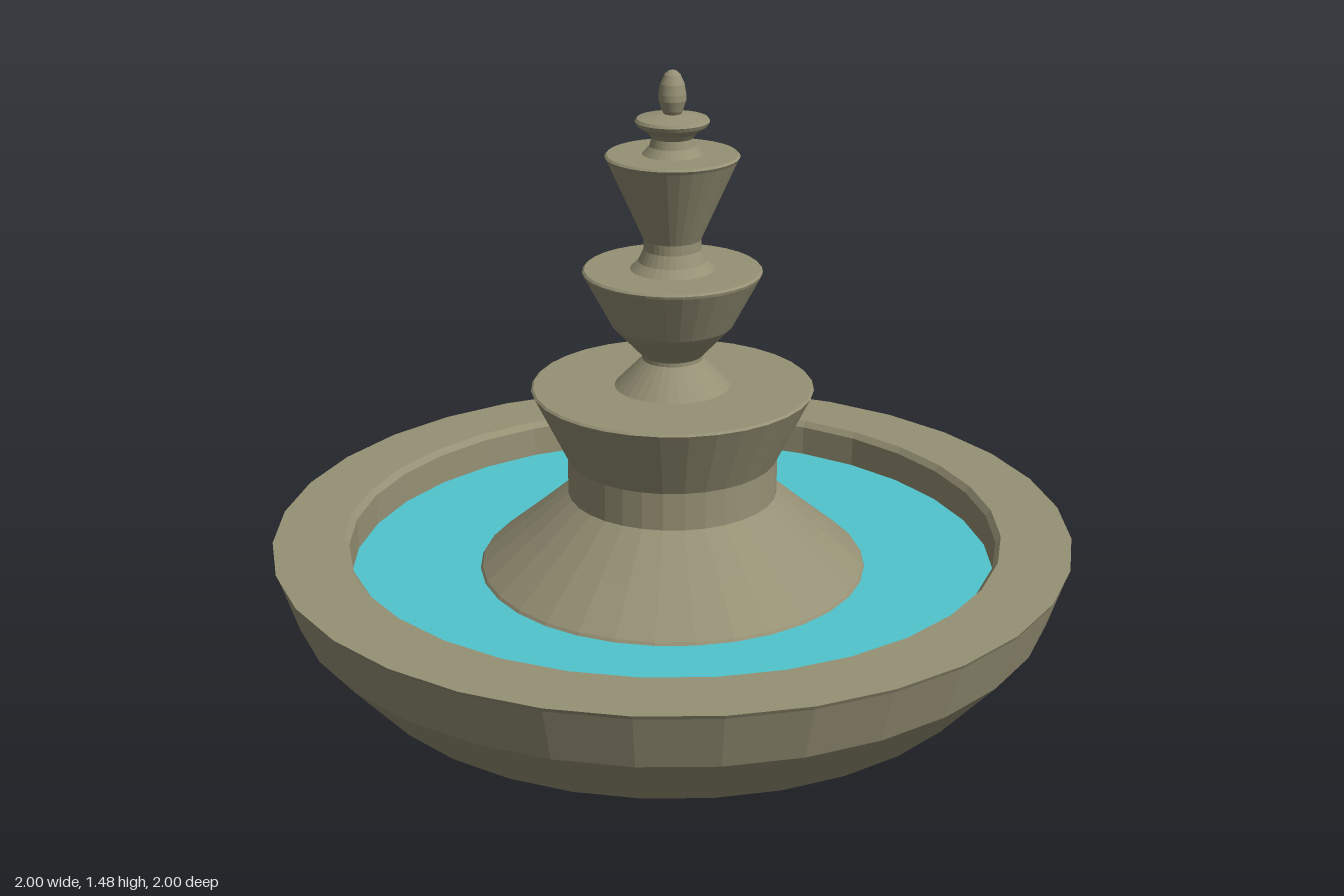
import * as THREE from 'three';

const SIDES = 32;

export function createModel() {
  const stone = new THREE.MeshStandardMaterial({ color: 0x969175 });
  stone.name = 'stone';
  const waterBlue = new THREE.MeshStandardMaterial({ color: 0x50c4cc });
  waterBlue.name = 'waterBlue';

  const fountain = new THREE.Group();
  fountain.name = 'fountain';

  // Turned, faceted part from [radius, height] points, listed bottom to top outside
  function turned(name, profile) {
    const points = profile.map(([r, y]) => new THREE.Vector2(r, y));
    const geometry = new THREE.LatheGeometry(points, SIDES).toNonIndexed();
    geometry.computeVertexNormals();
    const mesh = new THREE.Mesh(geometry, stone);
    mesh.name = name;
    fountain.add(mesh);
  }

  // Wide basin: closed underside, flared wall, flat rim, inner wall and floor
  turned('basin', [
    [0, 0], [0.81, 0], [0.95, 0.16], [0.995, 0.3], [1, 0.31],
    [0.825, 0.31], [0.812, 0.295], [0.81, 0.18], [0, 0.18],
  ]);

  // Sloping pedestal with the lowest bowl
  turned('lowerTier', [
    [0.49, 0.18], [0.49, 0.21], [0.482, 0.222], [0.375, 0.312], [0.262, 0.41],
    [0.262, 0.505], [0.345, 0.675], [0.35, 0.685], [0.345, 0.69], [0, 0.69],
  ]);

  // Middle bowl on its waisted foot
  turned('middleTier', [
    [0.145, 0.688], [0.075, 0.76], [0.075, 0.77], [0.15, 0.85],
    [0.218, 0.978], [0.22, 0.985], [0.215, 0.99], [0, 0.99],
  ]);

  // Tall upper bowl
  turned('upperTier', [
    [0.105, 0.988], [0.083, 1.01], [0.07, 1.04], [0.07, 1.065],
    [0.158, 1.262], [0.163, 1.27], [0.158, 1.275], [0, 1.275],
  ]);

  // Small cap dish
  turned('capDish', [
    [0.075, 1.272], [0.055, 1.295], [0.05, 1.315], [0.06, 1.328],
    [0.085, 1.345], [0.09, 1.355], [0.085, 1.362], [0.04, 1.37], [0, 1.375],
  ]);

  // Egg-shaped finial
  turned('finial', [
    [0.018, 1.368], [0.025, 1.38], [0.033, 1.405], [0.033, 1.42],
    [0.029, 1.445], [0.019, 1.467], [0.01, 1.475], [0, 1.478],
  ]);

  // Water surface around the pedestal
  const water = new THREE.Mesh(new THREE.RingGeometry(0.485, 0.812, SIDES), waterBlue);
  water.name = 'water';
  water.rotation.x = -Math.PI / 2;
  water.position.y = 0.215;
  fountain.add(water);

  return fountain;
}
